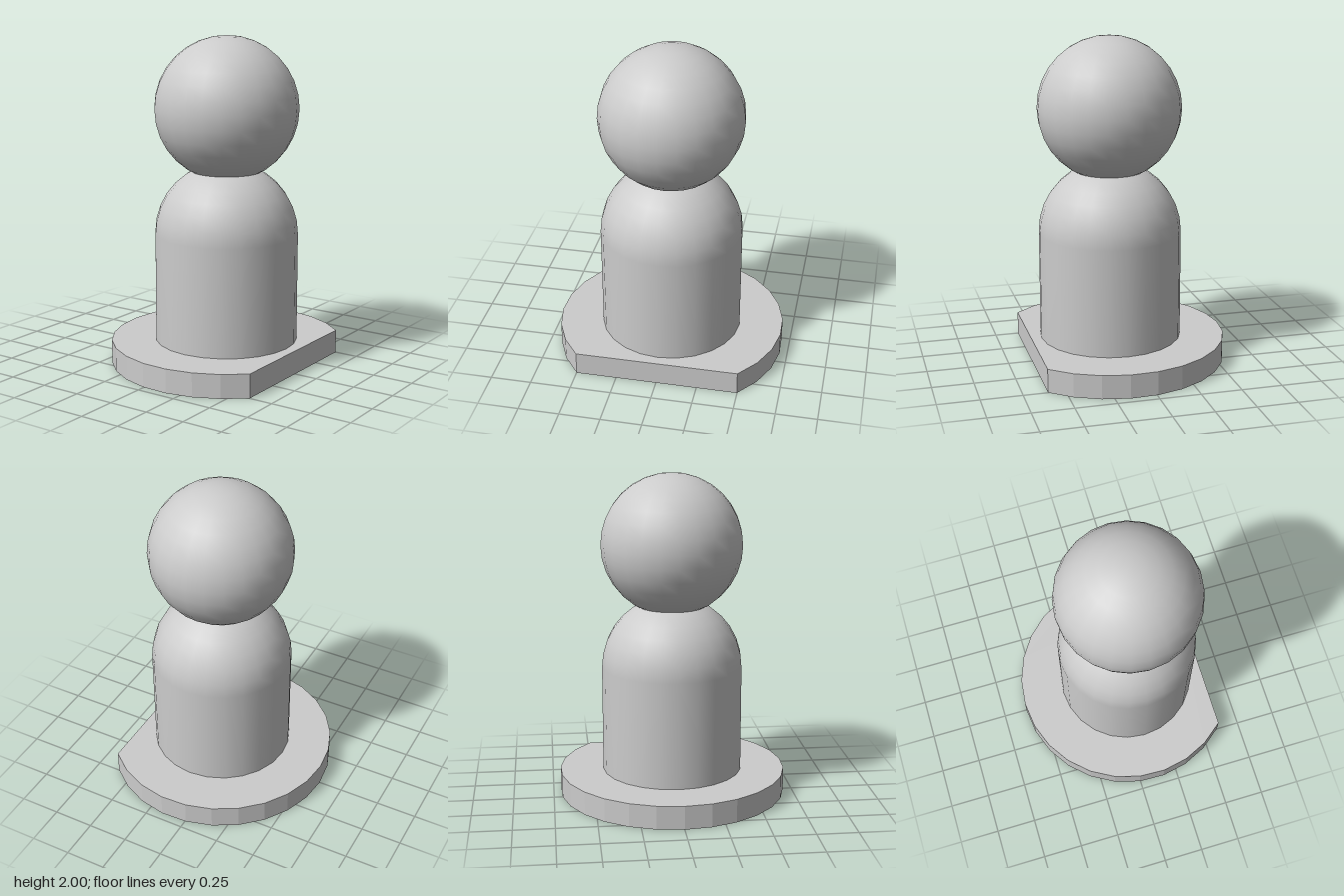
import * as THREE from 'three';

const AXIS_X = -0.145;  // centre line of the round parts
const BASE_R = 0.705;
const BASE_H = 0.145;
const BODY_R = 0.435;
const SHOULDER_Y = 0.805;
const HEAD_Y = 1.565;

export function createModel() {
  const group = new THREE.Group();
  const material = new THREE.MeshStandardMaterial({ color: 0xcccccc });

  const add = (name, geometry, y) => {
    const mesh = new THREE.Mesh(geometry, material);
    mesh.name = name;
    mesh.position.set(AXIS_X, y, 0);
    group.add(mesh);
  };

  // Teardrop base: three quarters of a disc closed by two tangents meeting at a point
  const outline = new THREE.Shape();
  outline.moveTo(BASE_R * Math.SQRT2, 0);
  outline.absarc(0, 0, BASE_R, Math.PI / 4, Math.PI * 7 / 4, false);
  outline.closePath();
  const base = new THREE.ExtrudeGeometry(outline, {
    depth: BASE_H, bevelEnabled: false, curveSegments: 10,
  });
  base.rotateX(-Math.PI / 2);
  add('base', base, 0);

  // Body: upright cylinder running smoothly into a domed top
  const profile = [new THREE.Vector2(BODY_R, BASE_H)];
  const steps = 8;
  for (let i = 0; i <= steps; i++) {
    const a = (i / steps) * Math.PI / 2;
    profile.push(new THREE.Vector2(
      i === steps ? 0 : BODY_R * Math.cos(a),
      SHOULDER_Y + BODY_R * Math.sin(a)));
  }
  add('body', new THREE.LatheGeometry(profile, 24), 0);

  // Head: ball resting slightly sunk into the dome
  add('head', new THREE.SphereGeometry(BODY_R, 24, 16), HEAD_Y);

  return group;
}
